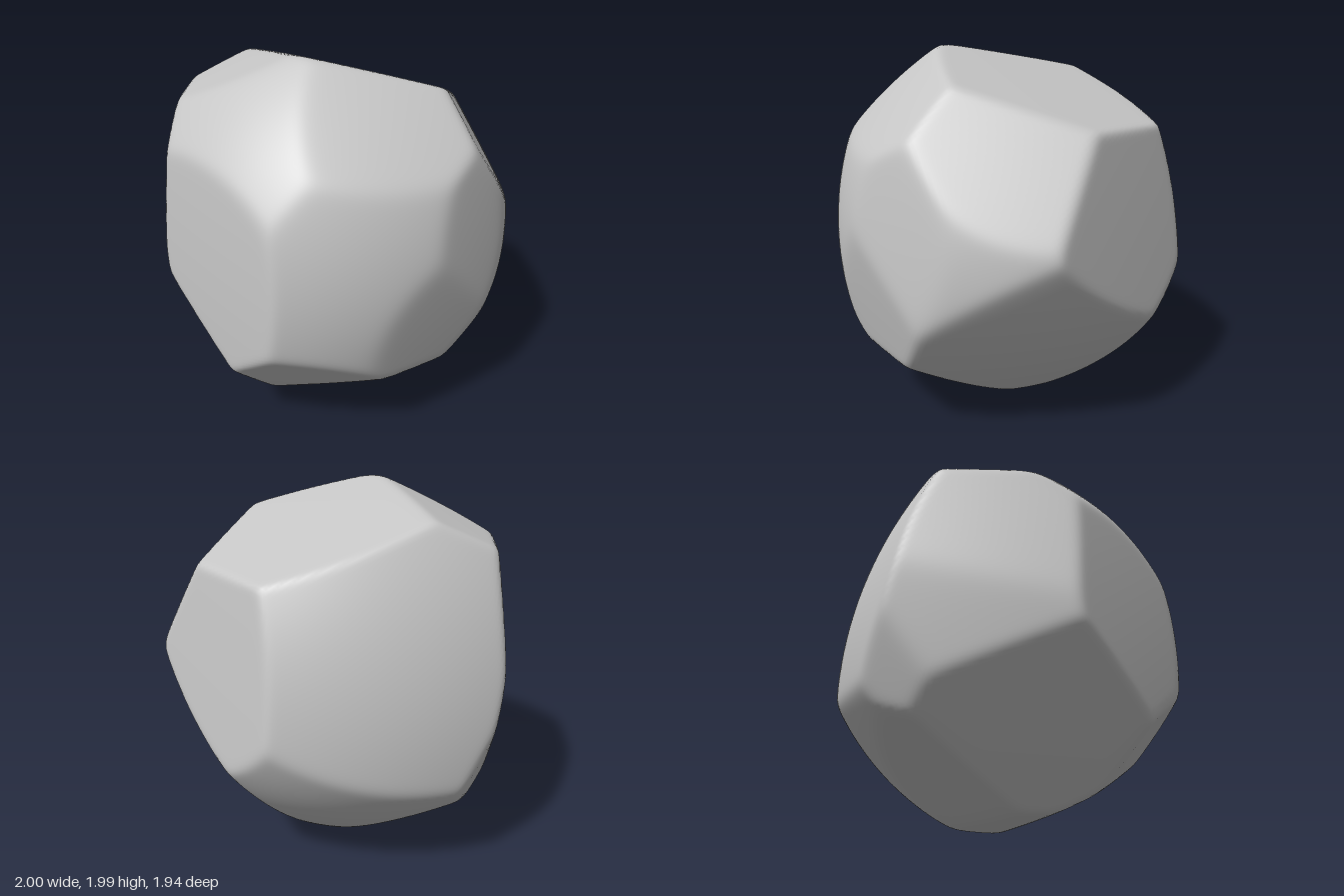
import * as THREE from 'three';
import { mergeVertices } from 'three/addons/utils/BufferGeometryUtils.js';

// Worn faces of the rock: normal x, y, z, distance from the centre, bulge
const faces = [
  [0.066, 0.944, -0.32, 0.845, 0.015], // top
  [0.28, 0.12, -0.953, 0.875, 0.02],   // back
  [0.768, 0.516, -0.379, 0.95, 0.03],  // upper back, +x
  [0.98, 0.05, -0.12, 1.003, 0.33],    // +x side, towards the back
  [0.97, 0.08, 0.22, 0.945, 0.06],     // +x side
  [0.86, -0.2, 0.46, 0.928, 0.04],     // lower +x side
  [0.67, 0.05, 0.74, 0.94, 0.3],       // front, +x
  [-0.3, 0.03, 0.953, 0.863, 0.05],    // front
  [-0.08, 0.58, 0.81, 0.988, 0.32],    // upper front
  [0.53, 0.7, 0.47, 0.965, 0.14],      // upper front, +x
  [-0.69, 0.2, -0.69, 0.885, 0.23],    // back, -x
  [-0.36, 0.91, 0.2, 0.987, 0.03],     // upper -x
  [-0.88, 0.1, 0.465, 0.872, 0.03],    // -x side
  [-0.9, -0.12, 0.42, 0.87, 0.03],     // -x side, lower half
  [-0.93, -0.33, 0.1, 0.985, 0.05],    // -x corner
  [-0.62, -0.6, 0.507, 0.855, 0.02],   // lower front, -x
  [0.3, -0.66, 0.69, 0.955, 0.03],     // lower front
  [0.4, -0.87, 0.27, 0.914, 0.03],     // lower +x
  [0.58, -0.64, -0.5, 0.87, 0.2],      // lower back, +x
  [-0.3, -0.64, -0.7, 0.96, 0.33],     // lower back
  [-0.47, -0.86, -0.15, 0.95, 0.03],   // lower -x
  [0, -1, 0, 1, 0.1],                  // base
].map(([x, y, z, d, k]) => ({ n: new THREE.Vector3(x, y, z).normalize(), d, k }));

const SHARPNESS = 100;

// Distance to the surface along a direction: a smooth minimum over all faces
function radius(dir) {
  let sum = 0;
  for (const { n, d, k } of faces) {
    const c = n.dot(dir);
    const a = k * Math.max(0, 1 - c * c);
    const t = (2 * d) / (c + Math.sqrt(c * c + 4 * a * d) + 1e-9);
    if (t > 0) sum += Math.pow(t, -SHARPNESS);
  }
  return Math.pow(sum, -1 / SHARPNESS);
}

export function createModel() {
  const stone = new THREE.MeshStandardMaterial({ color: 0xc6c6c6 });
  stone.name = 'stone grey';

  // One shared-vertex ball, pushed in to the worn faces
  let geometry = new THREE.IcosahedronGeometry(1, 50);
  geometry.deleteAttribute('uv');
  geometry.deleteAttribute('normal');
  geometry = mergeVertices(geometry, 1e-5);
  const pos = geometry.attributes.position;
  const v = new THREE.Vector3();
  for (let i = 0; i < pos.count; i++) {
    v.fromBufferAttribute(pos, i).normalize();
    v.multiplyScalar(radius(v));
    pos.setXYZ(i, v.x, v.y + 1, v.z);
  }
  geometry.computeVertexNormals();

  const rock = new THREE.Mesh(geometry, stone);
  rock.name = 'rock';
  const group = new THREE.Group();
  group.name = 'boulder';
  group.add(rock);
  return group;
}
